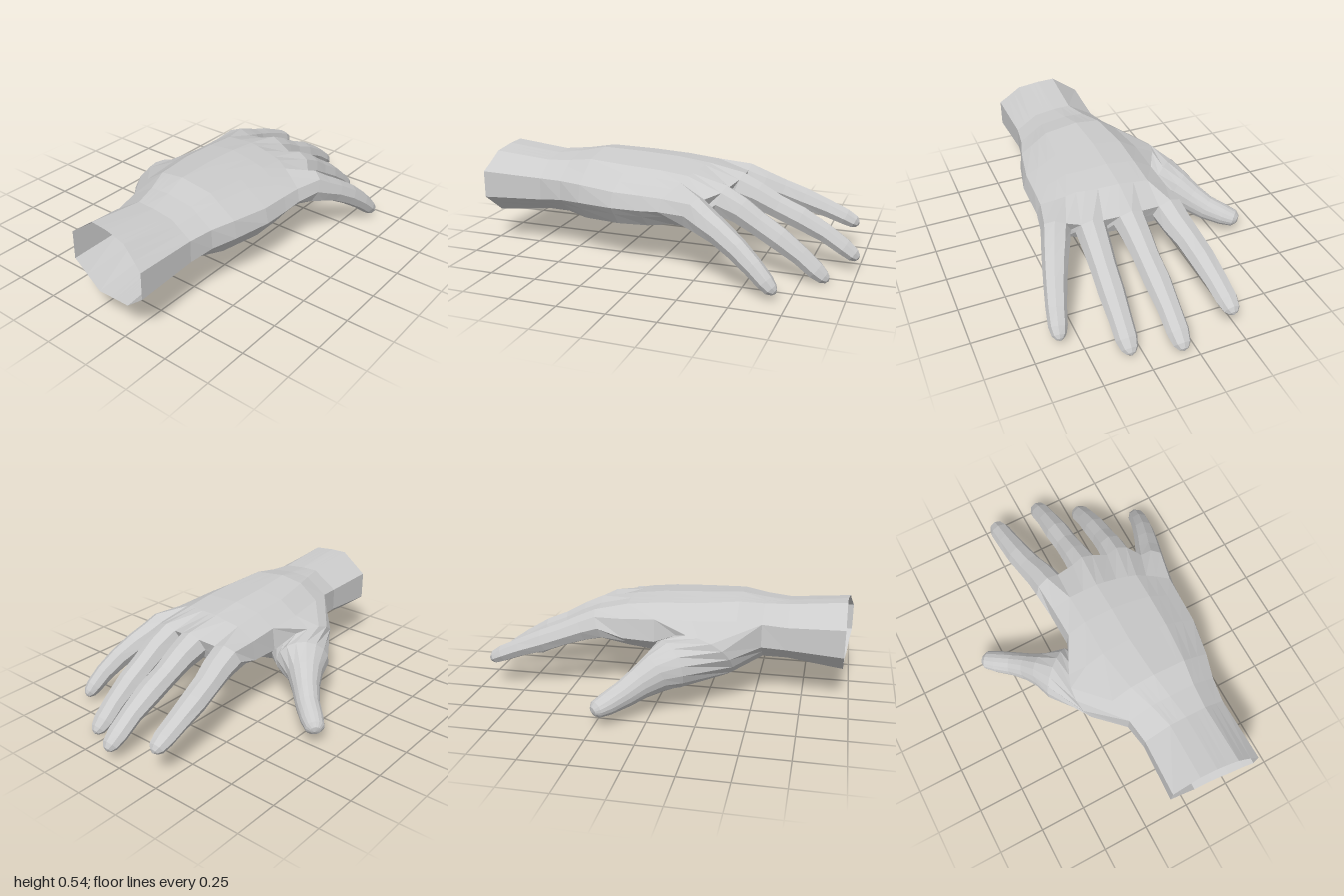
import * as THREE from 'three';

const { lerp } = THREE.MathUtils;
const material = new THREE.MeshStandardMaterial({
  color: 0xcccccc, flatShading: true, side: THREE.DoubleSide,
});

const quad = (a, b, c, d) => [a, b, c, a, c, d];

// Faces between two rings of equal length, leaving out the columns named by skip.
function band(from, to, skip = () => false) {
  return from.flatMap((p, j) => {
    const k = (j + 1) % from.length;
    return skip(j) ? [] : quad(p, from[k], to[k], to[j]);
  });
}

const skin = (rings) => rings.slice(1).flatMap((ring, i) => band(rings[i], ring));

const fan = (ring, tip) => ring.flatMap((p, j) => [tip, p, ring[(j + 1) % ring.length]]);

function part(name, corners) {
  const geometry = new THREE.BufferGeometry().setFromPoints(corners);
  geometry.computeVertexNormals();
  const mesh = new THREE.Mesh(geometry, material);
  mesh.name = name;
  return mesh;
}

// Rings across a path of [x, y, z, half width, half thickness, roll], from outer side over the top.
function digitRings(path, sides) {
  const centres = path.map(([x, y, z]) => new THREE.Vector3(x, y, z));
  const up = new THREE.Vector3(0, 1, 0);
  return path.map(([, , , w, t, roll = 0], i) => {
    const dir = centres[Math.min(i + 1, path.length - 1)].clone()
      .sub(centres[Math.max(i - 1, 0)]).normalize();
    const side = dir.clone().cross(up).normalize().applyAxisAngle(dir, roll);
    const top = side.clone().cross(dir);
    return Array.from({ length: sides }, (_, j) => {
      const a = j * 2 * Math.PI / sides;
      return centres[i].clone()
        .addScaledVector(side, -Math.cos(a) * w)
        .addScaledVector(top, Math.sin(a) * t);
    });
  });
}

function digit(name, rings, path) {
  const [x, y, z] = path[path.length - 1];
  return part(name, [...skin(rings), ...fan(rings[rings.length - 1], new THREE.Vector3(x, y - .005, z - .008))]);
}

// Outline of the wrist and of the palm, in fractions of width and height.
const wristOutline = [[0, .32], [0, .72], [.3, 1], [.5, .99], [.75, .94],
  [1, .7], [1, .32], [.75, .05], [.55, .02], [.33, 0]];
const palmOutline = [[0, .35], [.02, .74], [.17, .94], [.4, 1], [.72, .92],
  [.97, .62], [1, .38], [.89, .07], [.5, .02], [.18, .05]];

// Places along the outline: left edge, three per finger on top, right edge, three per finger below.
const places = [0, 1, 2, 2.25, 2.5, 3, 3.2, 3.5, 3.8, 4, 4.3, 4.6, 5,
  6, 6.4, 7, 7.2, 7.45, 7.65, 7.8, 8, 8.3, 8.6, 8.9, 9, 9.5];

// Sections: z, left x, right x, top y, bottom y, bow of the outer side, palm blend
const sections = [
  [.96, -.1, .375, .53, .15, .04, 0],
  [.66, -.09, .37, .5, .19, 0, 0],
  [.53, -.115, .395, .515, .2, 0, .4],
  [.4, -.15, .44, .54, .19, 0, .8],
  [.17, -.185, .485, .53, .2, .03, 1],
  [-.03, -.185, .49, .52, .21, .08, 1],
  [-.2, -.19, .495, .5, .235, .14, 1],
];

function palmRing([z, x0, x1, top, bottom, bow, blend]) {
  const corners = wristOutline.map(([u, v], i) =>
    [lerp(u, palmOutline[i][0], blend), lerp(v, palmOutline[i][1], blend)]);
  return places.map((p) => {
    const i = Math.floor(p), a = corners[i], b = corners[(i + 1) % corners.length];
    const u = lerp(a[0], b[0], p - i), v = lerp(a[1], b[1], p - i);
    return new THREE.Vector3(lerp(x0, x1, u), lerp(bottom, top, v), z + bow * u ** 3);
  });
}

const fingerPaths = {
  indexFinger: [
    [-.122, .378, -.345, .088, .083], [-.133, .35, -.44, .082, .072],
    [-.155, .315, -.54, .073, .063], [-.172, .275, -.65, .07, .062],
    [-.185, .23, -.78, .062, .05], [-.192, .19, -.88, .057, .045],
    [-.195, .165, -.93, .043, .036], [-.195, .155, -.948, .024, .02],
  ],
  middleFinger: [
    [.097, .385, -.36, .086, .085], [.096, .352, -.46, .077, .072],
    [.094, .3, -.57, .069, .063], [.092, .25, -.69, .07, .062],
    [.09, .185, -.82, .06, .05], [.088, .12, -.92, .058, .045],
    [.088, .083, -.97, .045, .037], [.088, .067, -.991, .025, .022],
  ],
  ringFinger: [
    [.292, .365, -.325, .082, .086], [.3, .325, -.43, .075, .072],
    [.304, .27, -.52, .069, .063], [.308, .205, -.63, .068, .06],
    [.31, .13, -.74, .06, .05], [.31, .063, -.82, .057, .046],
    [.31, .031, -.86, .043, .035], [.31, .019, -.88, .024, .02],
  ],
  littleFinger: [
    [.449, .338, -.23, .077, .09], [.478, .305, -.305, .073, .075],
    [.51, .27, -.385, .066, .064], [.545, .213, -.48, .059, .058],
    [.575, .145, -.57, .053, .05], [.592, .085, -.635, .048, .043],
    [.598, .055, -.665, .037, .034], [.6, .043, -.682, .02, .02],
  ],
};

// The first entry only aims the fleshy root of the thumb outwards from the palm.
const thumbPath = [
  [-.135, .375, .135, 0, 0], [-.178, .26, .22, .185, .175, -.25],
  [-.295, .245, .075, .142, .128, -.12], [-.36, .213, .012, .094, .108],
  [-.415, .175, -.055, .073, .087], [-.48, .135, -.125, .064, .072],
  [-.555, .11, -.19, .06, .058], [-.602, .098, -.23, .05, .044],
  [-.616, .093, -.244, .028, .025],
];

export function createModel() {
  const hand = new THREE.Group();
  hand.name = 'hand';

  // Four fingers; their base rings form the knuckle edge of the palm
  const fingers = Object.entries(fingerPaths).map(([name, path]) => {
    const rings = digitRings(path, 8);
    hand.add(digit(name, rings, path));
    return rings[0];
  });
  const knuckles = [
    fingers[0][0], ...fingers.flatMap((ring) => ring.slice(1, 4)),
    fingers[3][4], ...[...fingers].reverse().flatMap((ring) => ring.slice(5, 8)),
  ];

  // Palm and open wrist, with a gap on the left side where the thumb grows out
  const rings = [...sections.map(palmRing), knuckles];
  const palm = rings.slice(1).flatMap((ring, i) =>
    band(rings[i], ring, (j) => i >= 2 && i <= 4 && (j >= 22 || j < 1)));
  hand.add(part('palmAndWrist', palm));

  // Webs between neighbouring fingers
  const webs = fingers.slice(1).flatMap((b, i) => {
    const a = fingers[i];
    return [...quad(a[3], b[1], b[0], a[4]), ...quad(a[4], b[0], b[7], a[5])];
  });
  hand.add(part('fingerWebs', webs));

  // Thumb, starting from the edge of the gap in the palm
  const root = [[2, 25], [2, 0], [2, 1], [3, 1], [4, 1], [5, 1], [5, 0], [5, 25],
    [5, 24], [5, 23], [5, 22], [4, 22], [3, 22], [2, 22], [2, 23], [2, 24]]
    .map(([section, column]) => rings[section][column]);
  const thumbRings = [root, ...digitRings(thumbPath, root.length).slice(1)];
  hand.add(digit('thumb', thumbRings, thumbPath));
  return hand;
}
